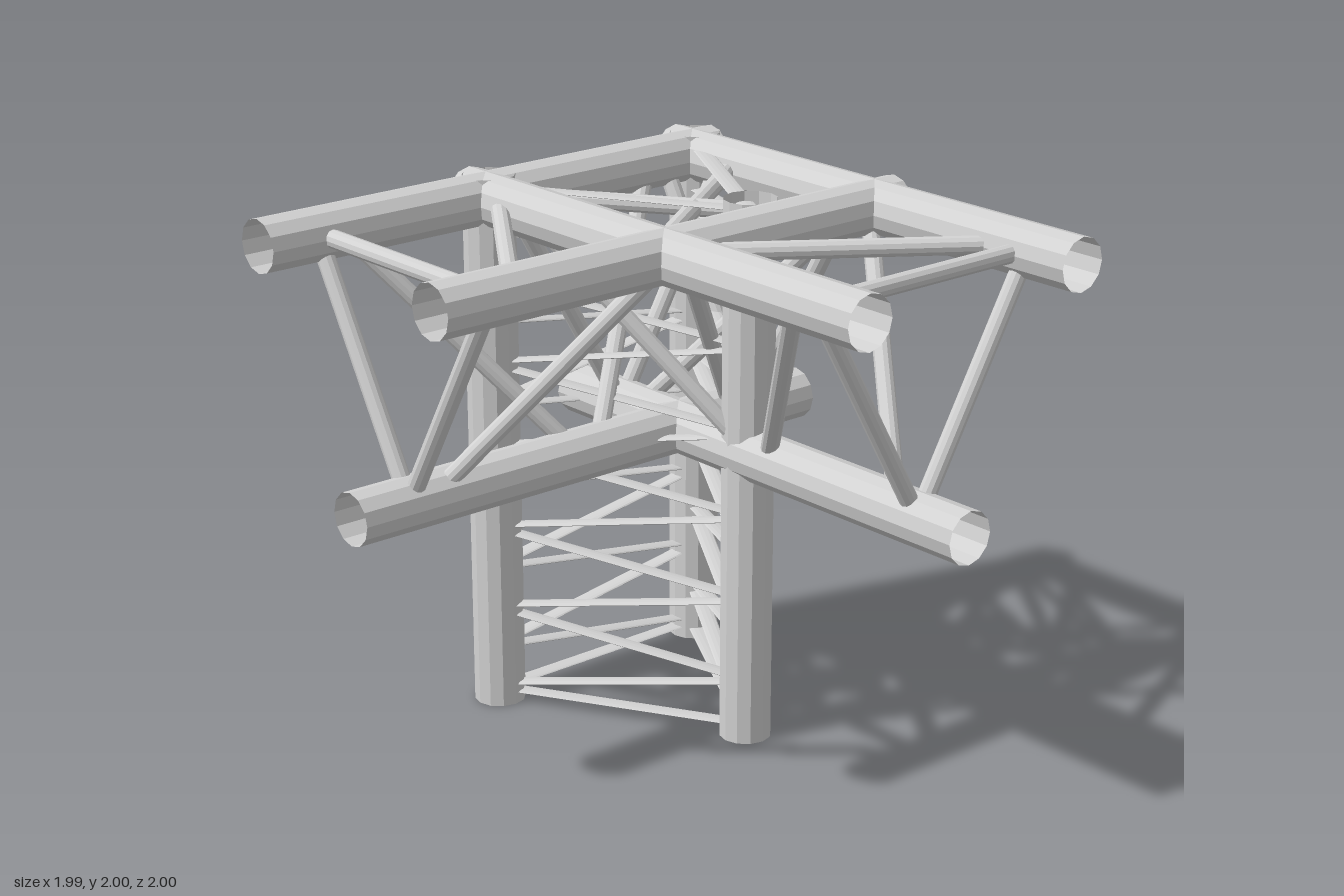
import * as THREE from 'three';

const UP = new THREE.Vector3(0, 1, 0);

export function createModel() {
  const model = new THREE.Group();
  model.name = 'trussCorner';
  // Tubes are hollow, so their inner walls show at the open ends
  const metal = new THREE.MeshStandardMaterial({
    color: 0xd2d2d2, flatShading: true, side: THREE.DoubleSide,
  });
  metal.name = 'aluminium';

  // Open-ended tube between two points
  function tube(parent, name, a, b, radius) {
    const p = new THREE.Vector3(...a), q = new THREE.Vector3(...b);
    const dir = q.clone().sub(p);
    const geo = new THREE.CylinderGeometry(radius, radius, dir.length(), 12, 1, true);
    const mesh = new THREE.Mesh(geo, metal);
    mesh.position.copy(p).add(q).multiplyScalar(0.5);
    mesh.quaternion.setFromUnitVectors(UP, dir.normalize());
    mesh.name = name;
    parent.add(mesh);
  }

  const R = 0.094, r = 0.032;
  const TOP = 1.906, LOW = 1.085;

  // Horizontal truss. place(s, c, y): s runs along the truss, c across it.
  function truss(name, place, near, mid, far, end) {
    const g = new THREE.Group();
    g.name = name;
    model.add(g);
    const bar = (n, s1, c1, y1, s2, c2, y2, rad = r) =>
      tube(g, n, place(s1, c1, y1), place(s2, c2, y2), rad);

    // Main chords
    bar('upperChord', -1, near, TOP, end, near, TOP, R);
    bar('upperChord', -1, far, TOP, end, far, TOP, R);
    bar('lowerChord', -1, mid, LOW, end, mid, LOW, R);

    // Frames and diagonals, mirrored about the middle
    for (const k of [-1, 1]) {
      const s = k < 0 ? -0.763 : 0.75;
      bar('frameBrace', s, near, TOP, s, mid, LOW);
      bar('frameBrace', s, far, TOP, s, mid, LOW);
      bar('nearDiagonal', 0.02 * k, near, TOP, 0.67 * k, mid, LOW);
      bar('farDiagonal', 0.67 * k, far, TOP, 0.04 * k, mid, LOW);
      bar('topDiagonal', 0.68 * k, near, TOP, 0.01 * k, far, TOP);
    }
    // Cross bar closing the free arm
    bar('topCrossBar', -0.76, near, TOP, -0.76, far, TOP);
  }

  truss('sideTruss', (s, c, y) => [s, y, c], 0.047, -0.43, -0.905, 0.983);
  truss('frontTruss', (s, c, y) => [c, y, -s], 0.89, 0.415, -0.06, 1);

  // Three-post column
  const column = new THREE.Group();
  column.name = 'column';
  model.add(column);
  const posts = [[-0.05, -0.902], [0.425, -0.074], [0.9, -0.902]];
  for (const [x, z] of posts) tube(column, 'post', [x, 0, z], [x, 1.99, z], R);

  // Flattened lacing: round bars squashed vertically
  const FLAT = 0.16;
  const lacing = new THREE.Group();
  lacing.name = 'columnLacing';
  lacing.scale.y = FLAT;
  column.add(lacing);
  const strap = (name, a, b, ya, yb) =>
    tube(lacing, name, [a[0], ya / FLAT, a[1]], [b[0], yb / FLAT, b[1]], r);

  const STEPS = 12, y0 = 0.055, step = 0.156;
  posts.forEach((a, i) => {
    const b = posts[(i + 1) % 3];
    strap('bottomTie', a, b, 0.04, 0.04);
    strap('topTie', a, b, 1.95, 1.95);
    for (let k = 0; k < STEPS; k++) {
      const [p, q] = k % 2 ? [b, a] : [a, b];
      strap('zigzagStrap', p, q, y0 + k * step + 0.005, y0 + (k + 1) * step - 0.005);
    }
  });

  return model;
}
